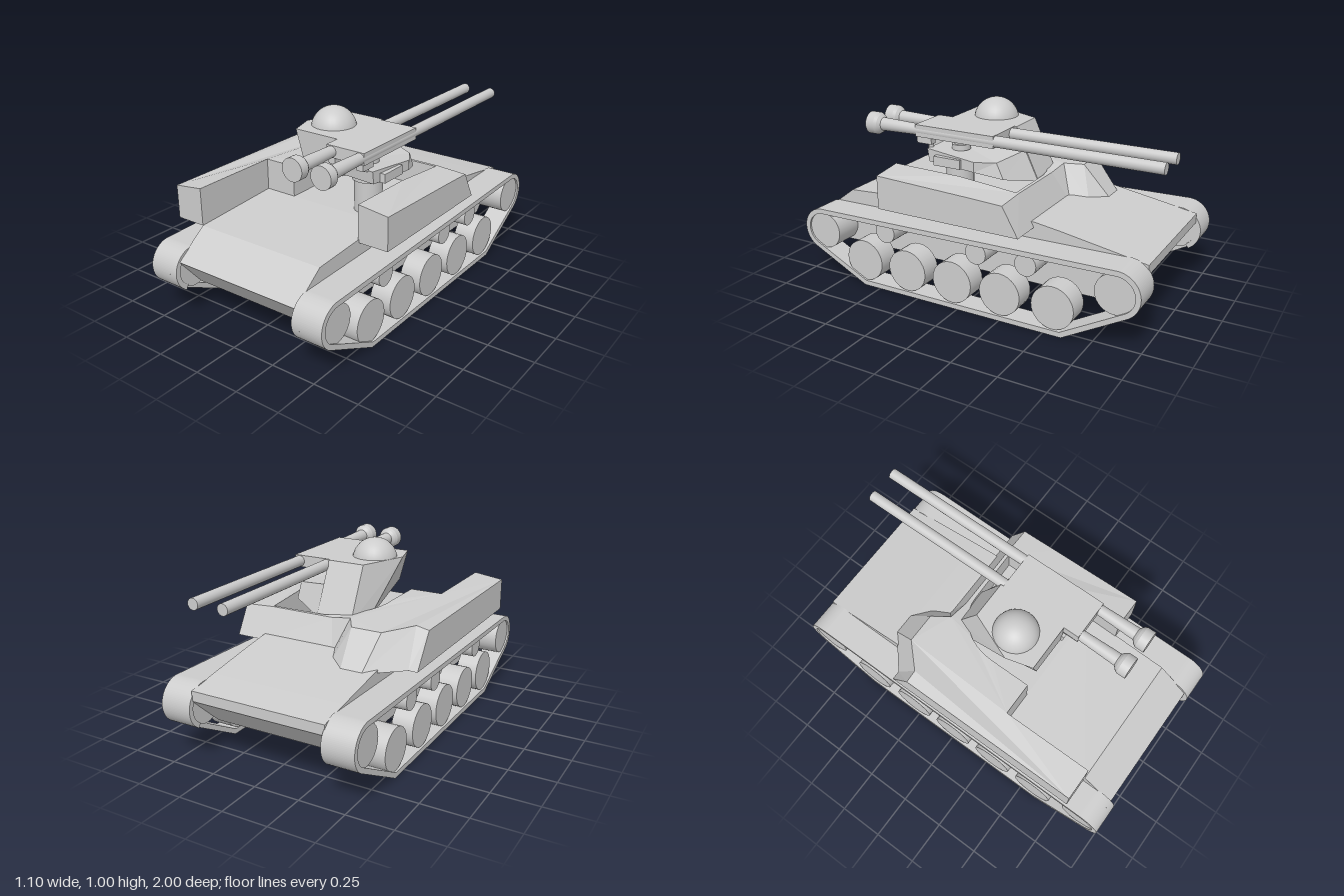
import * as THREE from 'three';

const flat = new THREE.MeshStandardMaterial({ color: 0xcccccc, flatShading: true });
const smooth = new THREE.MeshStandardMaterial({ color: 0xcccccc });
const rad = THREE.MathUtils.degToRad;

export function createModel() {
  const model = new THREE.Group();
  model.name = 'trackedGunVehicle';

  function add(name, geometry, material = flat, parent = model) {
    const mesh = new THREE.Mesh(geometry, material);
    mesh.name = name;
    parent.add(mesh);
    return mesh;
  }

  // Side profile in (z, y), extruded across x
  function sideExtrude(shape, x0, x1) {
    return new THREE.ExtrudeGeometry(shape, { depth: x1 - x0, bevelEnabled: false, curveSegments: 20 })
      .rotateY(-Math.PI / 2).translate(x1, 0, 0);
  }

  // Solid between two outlines of [x, y, z] corners with equal counts
  function slab(pairs) {
    let low = pairs.map((p) => p[0]);
    let high = pairs.map((p) => p[1]);
    const plan = (ring) => ring.map((p) => new THREE.Vector2(p[0], -p[2]));
    if (THREE.ShapeUtils.area(plan(low)) < 0) {
      low = low.slice().reverse();
      high = high.slice().reverse();
    }
    const out = [];
    const tri = (a, b, c) => out.push(...a, ...b, ...c);
    for (const [a, b, c] of THREE.ShapeUtils.triangulateShape(plan(high), [])) tri(high[a], high[b], high[c]);
    for (const [a, b, c] of THREE.ShapeUtils.triangulateShape(plan(low), [])) tri(low[c], low[b], low[a]);
    low.forEach((p, i) => {
      const j = (i + 1) % low.length;
      tri(p, low[j], high[j]);
      tri(p, high[j], high[i]);
    });
    const g = new THREE.BufferGeometry();
    g.setAttribute('position', new THREE.Float32BufferAttribute(out, 3));
    g.computeVertexNormals();
    return g;
  }

  const box = (x0, x1, y0, y1, z0, z1) => new THREE.BoxGeometry(x1 - x0, y1 - y0, z1 - z0)
    .translate((x0 + x1) / 2, (y0 + y1) / 2, (z0 + z1) / 2);
  const post = (x, z, r, y0, y1) => new THREE.CylinderGeometry(r, r, y1 - y0, 24).translate(x, (y0 + y1) / 2, z);
  const wheel = (x0, x1, y, z, r) => new THREE.CylinderGeometry(r, r, x1 - x0, 28)
    .rotateZ(Math.PI / 2).translate((x0 + x1) / 2, y, z);

  // Hull
  const hull = new THREE.Shape([
    [0.83, 0.17], [0.97, 0.34], [0.79, 0.475], [0.28, 0.505], [-0.36, 0.505],
    [-0.5, 0.485], [-0.8, 0.435], [-0.97, 0.405], [-0.97, 0.35], [-0.78, 0.17],
  ].map((p) => new THREE.Vector2(...p)));
  add('hull', sideExtrude(hull, -0.38, 0.38));

  // Track outlines: front and rear ends are arcs about the end wheels
  const front = [0.878, 0.275, 0.122];
  const rear = [-0.875, 0.3, 0.125];
  function loop(Type, t) {
    const s = new Type();
    s.moveTo(-0.6 + 0.3 * t, t);
    s.lineTo(0.6 - 0.3 * t, t);
    s.absarc(front[0], front[1], front[2] - t, rad(-63), rad(91), false);
    s.absarc(rear[0], rear[1], rear[2] - t, rad(91), rad(240), false);
    s.closePath();
    return s;
  }
  const belt = loop(THREE.Shape, 0);
  belt.holes.push(loop(THREE.Path, 0.028));

  // Inner band carries the upper run and ends across to the hull
  const band = new THREE.Shape();
  band.absarc(front[0], front[1], front[2], rad(-60), rad(91), false);
  band.absarc(rear[0], rear[1], rear[2], rad(91), rad(240), false);
  band.absarc(rear[0], rear[1], rear[2] - 0.028, rad(240), rad(91), true);
  band.absarc(front[0], front[1], front[2] - 0.028, rad(91), rad(-60), true);

  for (const side of [1, -1]) {
    const running = new THREE.Group();
    running.name = side > 0 ? 'leftRunningGear' : 'rightRunningGear';
    model.add(running);
    const span = (a, b) => (side > 0 ? [a, b] : [-b, -a]);
    const shift = side > 0 ? 0 : -0.03;
    add('trackBelt', sideExtrude(belt, ...span(0.42, 0.55)), flat, running);
    add('trackInnerBand', sideExtrude(band, ...span(0.375, 0.42)), flat, running);
    add('frontWheel', wheel(...span(0.38, 0.54), 0.27, 0.872, 0.103), smooth, running);
    add('rearWheel', wheel(...span(0.38, 0.54), 0.298, -0.868, 0.106), smooth, running);
    for (const z of [0.6, 0.318, 0.036, -0.248, -0.545]) {
      add('roadWheel', wheel(...span(0.42, 0.54), 0.145, z + shift, 0.116), smooth, running);
    }
    for (const z of [0.46, -0.105, -0.39]) {
      add('returnRoller', wheel(...span(0.375, 0.53), 0.335, z, 0.06), smooth, running);
    }
  }

  // Right casemate with curved gun well, rear bulge and low rear wall
  const B = 0.475;
  const wall = (x, z, y) => [[x, B, z], [x, y, z]];
  const casemate = [
    wall(-0.55, 0.79, 0.658), wall(-0.38, 0.79, 0.68), wall(-0.38, 0.28, 0.68), wall(-0.195, 0.28, 0.68),
  ];
  for (let i = 0; i <= 8; i++) {
    const a = rad(180 + i * 90 / 8);
    casemate.push(wall(0.06 + 0.255 * Math.cos(a), 0.05 + 0.3 * Math.sin(a), 0.68 - 0.005 * i));
  }
  casemate.push(
    wall(0.38, -0.255, 0.64),
    [[0.38, B, -0.36], [0.38, 0.64, -0.272]],
    [[-0.05, B, -0.36], [0.0, 0.64, -0.272]],
    [[-0.1, B, -0.45], [-0.12, 0.66, -0.285]],
    [[-0.2, B, -0.53], [-0.18, 0.65, -0.38]],
    [[-0.32, B, -0.53], [-0.35, 0.65, -0.38]],
    [[-0.5, B, -0.375], [-0.48, 0.67, -0.25]],
    [[-0.55, B, -0.375], [-0.55, 0.656, -0.25]],
  );
  add('rightCasemate', slab(casemate));

  // Left stowage box over the track
  add('leftSponson', slab([
    wall(0.375, 0.48, 0.68), wall(0.55, 0.48, 0.66), wall(0.55, -0.05, 0.64),
    [[0.55, B, -0.36], [0.55, 0.63, -0.272]],
    [[0.375, B, -0.36], [0.375, 0.64, -0.272]],
    wall(0.375, 0.08, 0.672),
  ]));

  // Gun pedestal
  add('pedestal', post(0.22, 0.17, 0.075, 0.5, 0.7), smooth);
  add('pedestalCap', post(0.22, 0.17, 0.087, 0.68, 0.72), smooth);

  // Gunner cab with dome
  add('cab', slab([
    [[-0.12, 0.73, 0.28], [-0.165, 0.9, 0.285]],
    [[0.11, 0.72, 0.28], [0.11, 0.9, 0.285]],
    [[0.11, 0.615, -0.25], [0.11, 0.9, -0.115]],
    [[-0.1, 0.615, -0.25], [-0.1, 0.9, -0.115]],
    [[-0.145, 0.615, -0.13], [-0.205, 0.9, 0.14]],
  ]));
  const dome = new THREE.SphereGeometry(0.124, 28, 12, 0, Math.PI * 2, 0, Math.PI / 2);
  add('dome', dome.translate(-0.055, 0.876, 0.1), smooth);

  // Gun platform beside the cab
  add('gunPlatform', slab([
    [[0.1, 0.72, 0.29], [0.1, 0.78, 0.3]],
    [[0.335, 0.71, 0.29], [0.335, 0.78, 0.3]],
    [[0.36, 0.7, 0.0], [0.36, 0.755, 0.0]],
    [[0.3, 0.665, -0.14], [0.3, 0.75, -0.1]],
    [[0.1, 0.615, -0.25], [0.1, 0.78, -0.17]],
  ]));
  add('platformStep', box(0.32, 0.37, 0.705, 0.755, 0.08, 0.24));
  add('mountRing', post(0.22, 0.16, 0.05, 0.77, 0.8), smooth);
  add('mountHead', post(0.22, 0.16, 0.038, 0.79, 0.84), smooth);
  add('cradle', box(0.105, 0.335, 0.835, 0.9, -0.1, 0.375));

  // Twin guns, muzzles towards the rear
  const profile = [
    [0, -1], [0.03, -1], [0.03, 0.38], [0.036, 0.6], [0.052, 0.615],
    [0.061, 0.63], [0.061, 0.68], [0, 0.68],
  ];
  for (const x of [0.135, 0.307]) {
    const points = [];
    // Doubled corners keep the rims sharp
    profile.forEach(([r, z], i) => {
      const p = new THREE.Vector2(r, z);
      points.push(p);
      if (i > 0 && i < profile.length - 1) points.push(p.clone());
    });
    const gun = new THREE.LatheGeometry(points, 28).rotateX(Math.PI / 2).translate(x, 0.867, 0);
    add('gunBarrel', gun, smooth);
    add('cradlePost', post(x + (x < 0.2 ? 0.008 : -0.012), 0.3, 0.012, 0.775, 0.84), smooth);
    add('cradleFoot', box(x - 0.02, x + 0.02, 0.8, 0.84, 0.28, 0.37));
  }

  return model;
}
